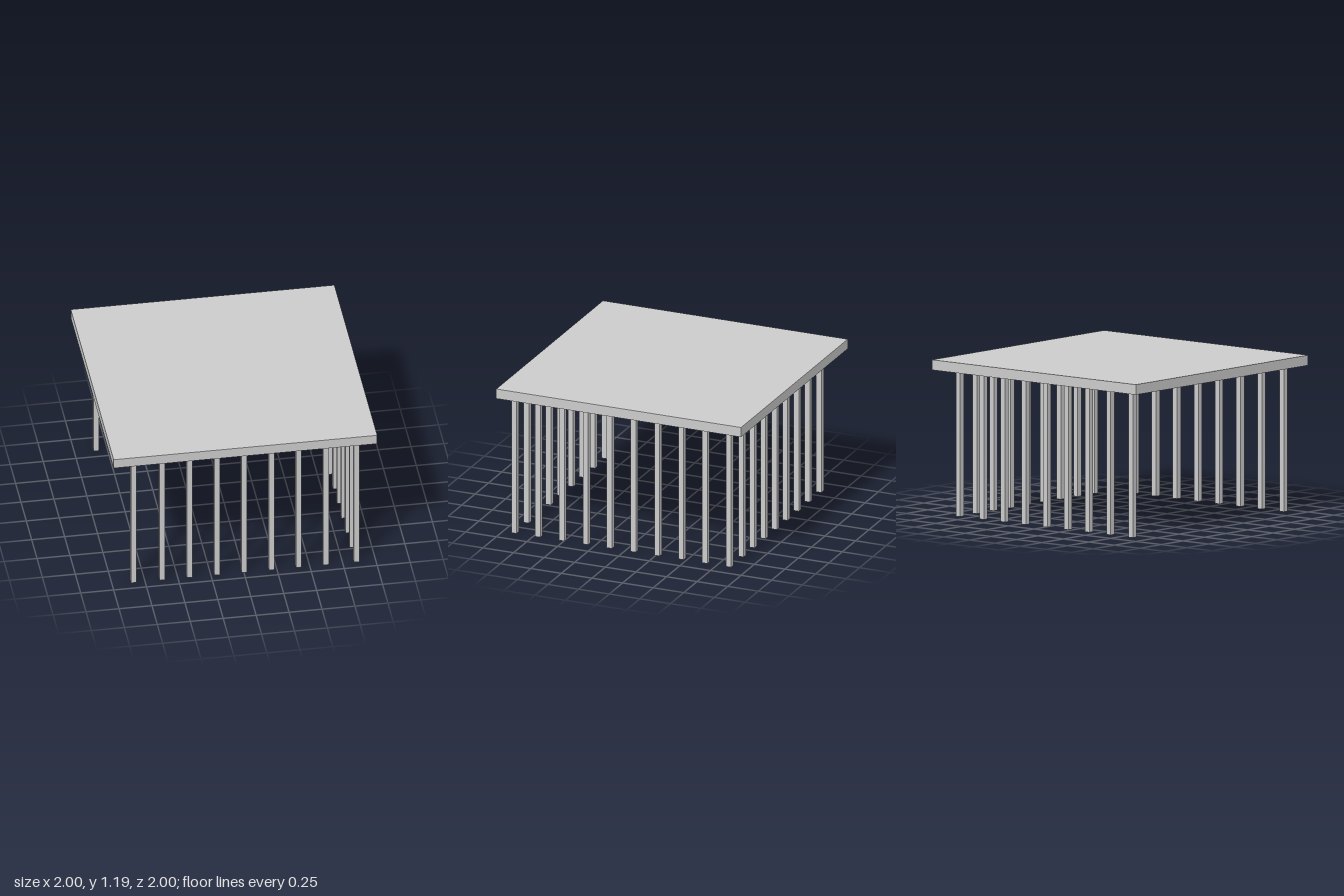
import * as THREE from 'three';

const SLAB_BOTTOM = 1.11;
const SLAB_TOP = 1.187;
const POST_WIDTH = 0.043;

export function createModel() {
  const model = new THREE.Group();
  model.name = 'pavilion';
  const material = new THREE.MeshStandardMaterial({ color: 0xcccccc, flatShading: true });

  // Flat square roof slab
  const roof = new THREE.Mesh(new THREE.BoxGeometry(2, SLAB_TOP - SLAB_BOTTOM, 2), material);
  roof.name = 'roofSlab';
  roof.position.y = (SLAB_TOP + SLAB_BOTTOM) / 2;
  model.add(roof);

  // Square posts, all sharing one geometry
  const postGeometry = new THREE.BoxGeometry(POST_WIDTH, SLAB_BOTTOM, POST_WIDTH);
  const addRow = (name, points) => {
    const row = new THREE.Group();
    row.name = name;
    for (const [x, z] of points) {
      const post = new THREE.Mesh(postGeometry, material);
      post.name = 'post';
      post.position.set(x, SLAB_BOTTOM / 2, z);
      row.add(post);
    }
    model.add(row);
  };

  // Front and back rows of nine; the end posts stand slightly further apart
  const xs = [-0.835, -0.619, -0.411, -0.203, 0.003, 0.211, 0.417, 0.623, 0.856];
  const frontZ = 0.909, backZ = -0.845;
  addRow('frontPosts', xs.map((x) => [x, frontZ]));
  addRow('backPosts', xs.map((x) => [x, backZ]));

  // Row along the +x side between the corner posts; the -x side stays open
  const sidePoints = [];
  for (let i = 1; i < 9; i++) sidePoints.push([0.856, frontZ + ((backZ - frontZ) * i) / 9]);
  addRow('sidePosts', sidePoints);

  return model;
}
